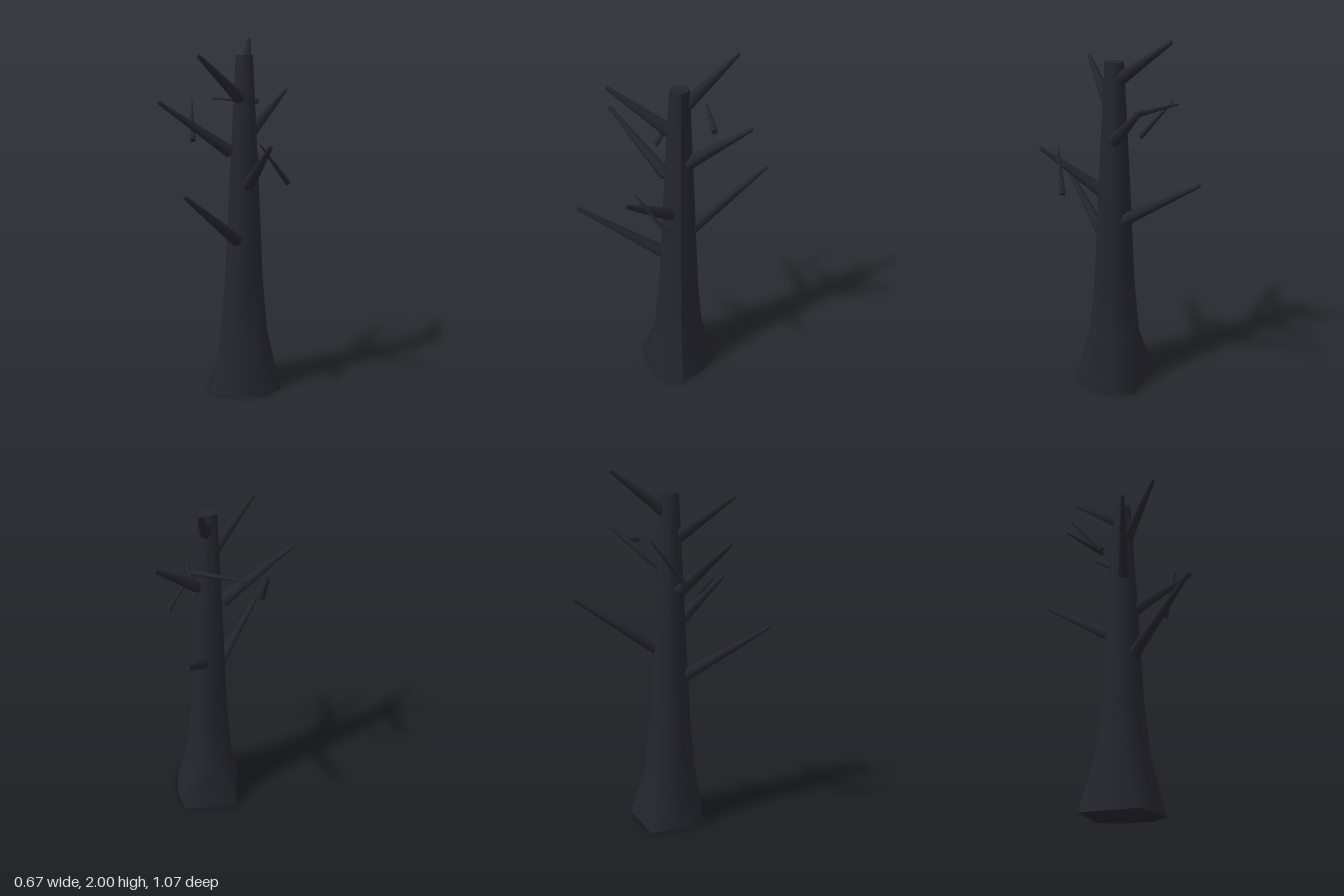
import * as THREE from 'three';

const bark = new THREE.MeshStandardMaterial({ color: 0x25252f });
bark.name = 'darkBark';

// Tapered limb from a thick end to a thin end
function limb(name, from, to, thick, thin) {
  const a = new THREE.Vector3(...from), b = new THREE.Vector3(...to);
  const dir = b.clone().sub(a);
  const mesh = new THREE.Mesh(new THREE.CylinderGeometry(thin, thick, dir.length(), 7), bark);
  mesh.name = name;
  mesh.position.copy(a).add(b).multiplyScalar(0.5);
  mesh.quaternion.setFromUnitVectors(new THREE.Vector3(0, 1, 0), dir.normalize());
  return mesh;
}

// Eight-sided trunk: regular rings above an uneven flared foot
function makeTrunk() {
  const cx = 0.03, cz = -0.02;
  const rings = [[0, 0.2], [0.31, 0.145], [0.62, 0.116], [1.2, 0.087], [1.87, 0.05]];
  const foot = [[0.257, -0.02], [0.21, 0.12], [0.07, 0.17], [-0.08, 0.19],
    [-0.135, 0.04], [-0.2, -0.11], [0.08, -0.26], [0.19, -0.15]];
  const geo = new THREE.CylinderGeometry(1, 1, 4, 8, 4);
  geo.rotateY(Math.PI / 2);
  const p = geo.attributes.position;
  for (let i = 0; i < p.count; i++) {
    const row = Math.round(p.getY(i) + 2);
    const [y, r] = rings[row];
    let x = cx + p.getX(i) * r, z = cz + p.getZ(i) * r;
    if (row === 0 && Math.hypot(p.getX(i), p.getZ(i)) > 0.5) {
      const k = Math.round(Math.atan2(p.getZ(i), p.getX(i)) / (Math.PI / 4));
      [x, z] = foot[(k + 8) % 8];
    }
    p.setXYZ(i, x, y, z);
  }
  geo.computeVertexNormals();
  const mesh = new THREE.Mesh(geo, bark);
  mesh.name = 'trunk';
  return mesh;
}

export function createModel() {
  const tree = new THREE.Group();
  tree.name = 'bareTree';
  tree.add(makeTrunk());

  // Main branches
  const branches = [
    ['lowFrontBranch', [0.025, 0.865, 0.07], [-0.053, 1.16, 0.53]],
    ['lowBackBranch', [0.03, 1.01, -0.08], [-0.1, 1.307, -0.53]],
    ['frontLeftBranch', [0.08, 1.17, 0.035], [0.305, 1.4, 0.28]],
    ['frontRightBranch', [-0.025, 1.35, 0.04], [-0.318, 1.62, 0.31]],
    ['backLeftBranch', [0.065, 1.47, -0.06], [0.145, 1.69, -0.365]],
    ['highFrontBranch', [0.025, 1.64, 0.025], [-0.075, 1.852, 0.327]],
    ['topBackBranch', [0.025, 1.78, -0.05], [-0.075, 1.988, -0.328]],
  ];
  for (const [name, from, to] of branches) tree.add(limb(name, from, to, 0.036, 0.01));

  // Thin side twigs
  tree.add(limb('rightTwig', [-0.24, 1.41, 0.075], [-0.33, 1.63, -0.09], 0.016, 0.004));
  tree.add(limb('leftTwig', [0.318, 1.195, 0.06], [0.225, 1.405, 0.225], 0.016, 0.004));
  tree.add(limb('backTwig', [0.035, 1.626, -0.2], [-0.255, 1.642, -0.205], 0.016, 0.005));
  return tree;
}
